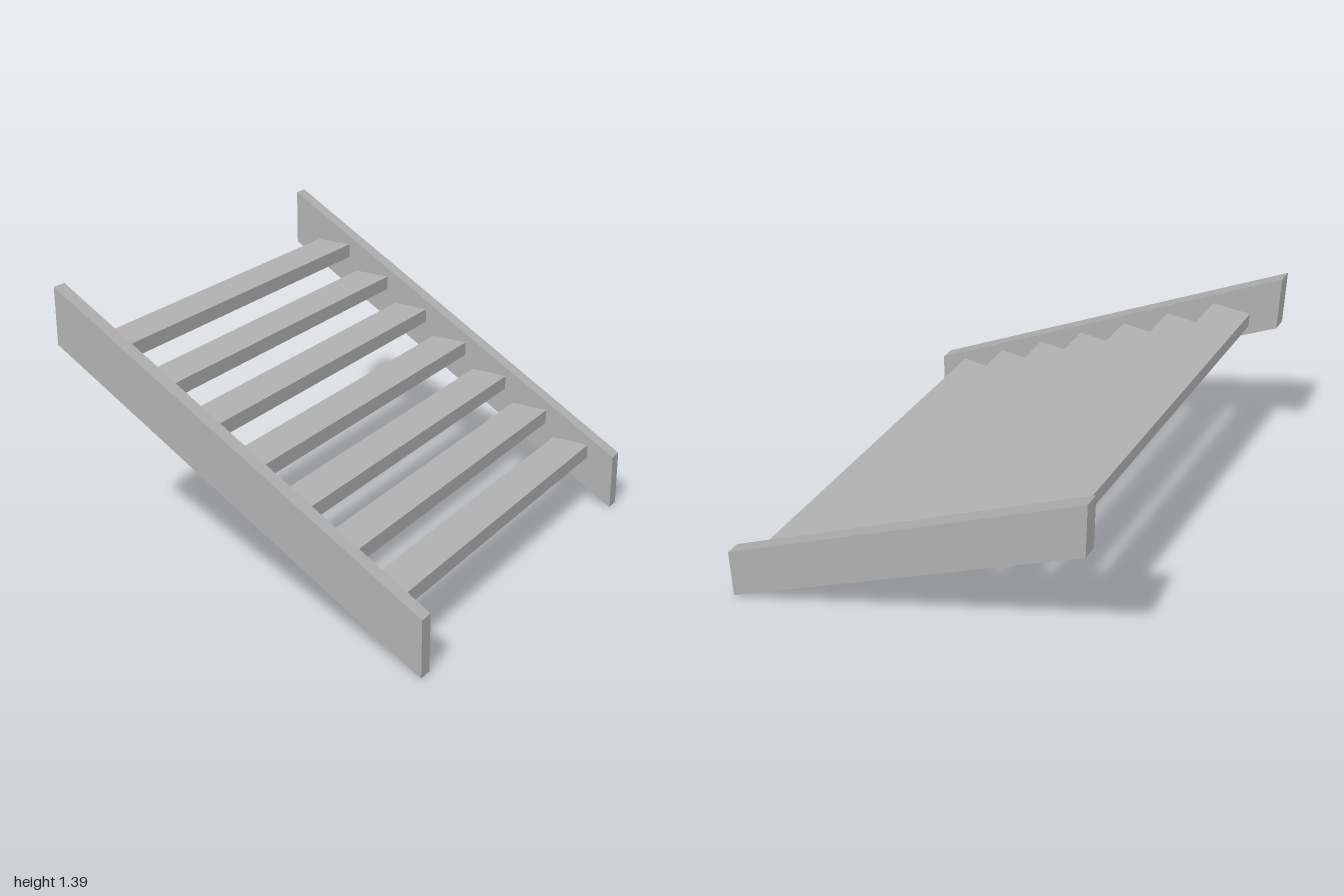
import * as THREE from 'three';

const STEPS = 7;
const HALF = 0.96;        // half the run of the staircase
const RAIL = 0.07;        // side board thickness
const INNER = 1 - RAIL;   // inner face of the side boards

export function createModel() {
  const grey = new THREE.MeshStandardMaterial({ color: 0xb0b0b0 });
  grey.name = 'grey';
  const model = new THREE.Group();
  model.name = 'staircase';

  // Side boards: slanted, with ends cut vertically
  const outline = new THREE.Shape([
    new THREE.Vector2(-HALF, 1.115),
    new THREE.Vector2(HALF, 0),
    new THREE.Vector2(HALF, 0.28),
    new THREE.Vector2(-HALF, 1.39),
  ]);
  const boardGeometry = new THREE.ExtrudeGeometry(outline, { depth: RAIL, bevelEnabled: false });
  for (const [name, z] of [['frontSideBoard', INNER], ['backSideBoard', -1]]) {
    const board = new THREE.Mesh(boardGeometry, grey);
    board.name = name;
    board.position.z = z;
    model.add(board);
  }

  // Level treads between the side boards
  const treadGeometry = new THREE.BoxGeometry(0.193, 0.07, 2 * INNER);
  for (let i = 0; i < STEPS; i++) {
    const t = i / (STEPS - 1);
    const tread = new THREE.Mesh(treadGeometry, grey);
    tread.name = `tread${i + 1}`;
    tread.position.set(
      THREE.MathUtils.lerp(0.722, -0.722, t),
      THREE.MathUtils.lerp(0.28, 1.115, t),
      0
    );
    model.add(tread);
  }
  return model;
}
